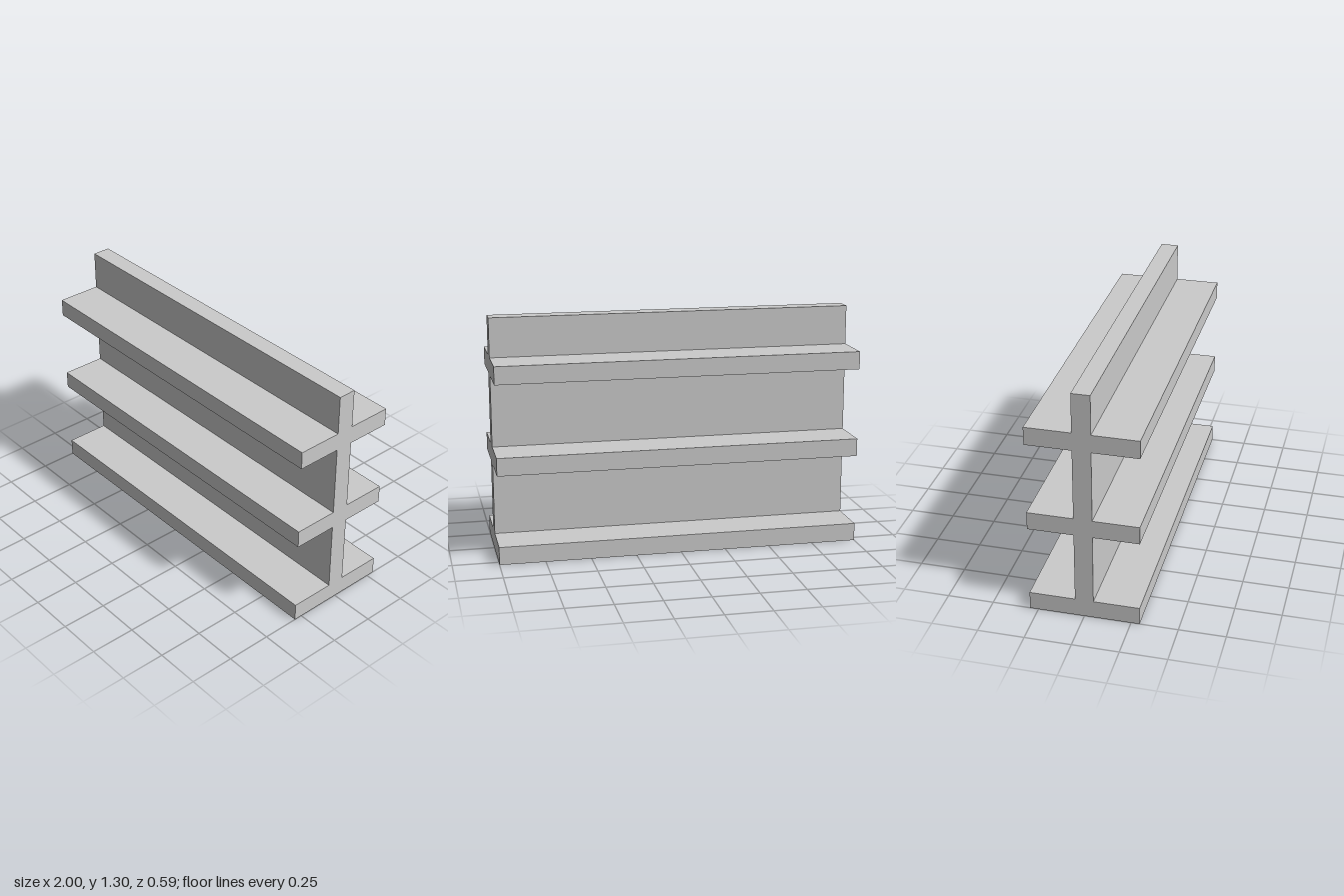
import * as THREE from 'three';

const LENGTH = 2;
const HEIGHT = 1.3;
const THICKNESS = 0.0985;         // shelf boards and upright panel
const SHELF_HALF_DEPTH = 0.2955;
const SHELF_BOTTOMS = [0, 0.4925, 0.985];

// One side of the cross-section, from the floor up: each shelf juts out from the panel
function sideOutline() {
  const panel = THICKNESS / 2;
  const points = [];
  for (const y of SHELF_BOTTOMS) {
    if (y > 0) points.push([panel, y]);
    points.push(
      [SHELF_HALF_DEPTH, y],
      [SHELF_HALF_DEPTH, y + THICKNESS],
      [panel, y + THICKNESS]
    );
  }
  points.push([panel, HEIGHT]);
  return points;
}

export function createModel() {
  const group = new THREE.Group();
  group.name = 'doubleSidedShelf';

  // Full cross-section: the outline and its mirror image
  const side = sideOutline();
  const mirrored = side.map(([d, y]) => [-d, y]).reverse();
  const section = new THREE.Shape(
    [...side, ...mirrored].map(([d, y]) => new THREE.Vector2(d, y))
  );

  // Central panel and its three shelves as one solid, running along x
  const geometry = new THREE.ExtrudeGeometry(section, { depth: LENGTH, bevelEnabled: false });
  geometry.translate(0, 0, -LENGTH / 2);
  geometry.rotateY(Math.PI / 2);

  const material = new THREE.MeshStandardMaterial({ color: 0xcccccc, flatShading: true });
  const mesh = new THREE.Mesh(geometry, material);
  mesh.name = 'panelWithShelves';
  group.add(mesh);

  return group;
}
